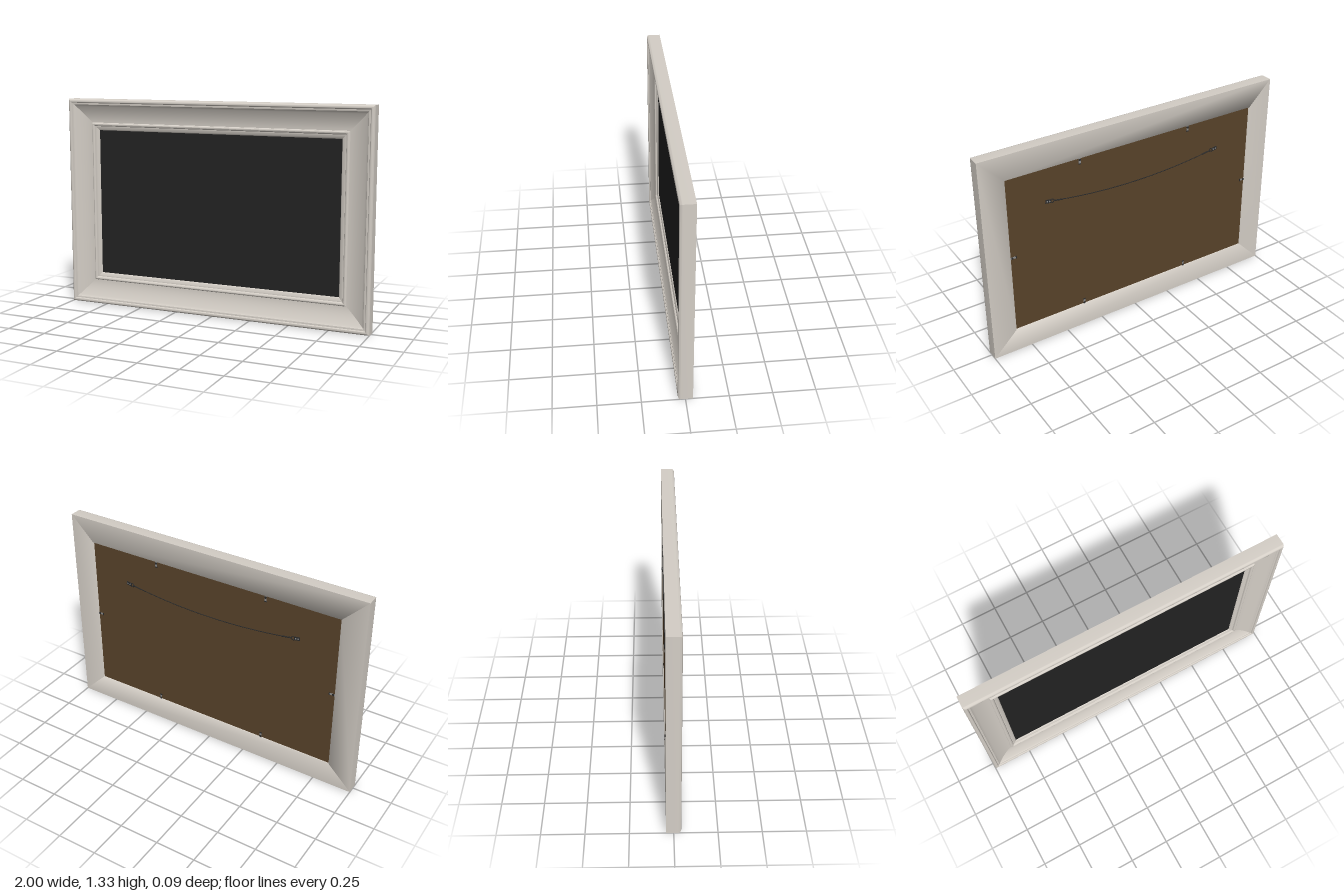
import * as THREE from 'three';
import { toCreasedNormals } from 'three/addons/utils/BufferGeometryUtils.js';

const H = 1.33, BACK = -0.043, BOARD_Z = -0.037;

const mat = (name, color) => {
  const m = new THREE.MeshStandardMaterial({ color });
  m.name = name;
  return m;
};

// Corner k of the rectangle lying t inside the outer edge, counter-clockwise
const corner = (k, t) => [
  [-1 + t, t], [1 - t, t], [1 - t, H - t], [-1 + t, H - t],
][k % 4];

// One mitred rail: sweeps a profile of [inset, z] points between two corners
function railGeometry(k, profile, crease) {
  const pos = [];
  for (let j = 0; j < profile.length - 1; j++) {
    const [t0, z0] = profile[j], [t1, z1] = profile[j + 1];
    const a = [...corner(k, t0), z0], b = [...corner(k + 1, t0), z0];
    const c = [...corner(k + 1, t1), z1], d = [...corner(k, t1), z1];
    pos.push(...a, ...b, ...c, ...a, ...c, ...d);
  }
  const g = new THREE.BufferGeometry();
  g.setAttribute('position', new THREE.Float32BufferAttribute(pos, 3));
  return toCreasedNormals(g, crease);
}

export function createModel() {
  const model = new THREE.Group();
  model.name = 'pictureFrame';
  const silver = mat('warm silver', 0xd4cec6);
  const black = mat('black picture', 0x222222);
  const brown = mat('brown backing', 0x59432a);
  const steel = mat('steel', 0x8c8c8c);
  const dark = mat('dark metal', 0x2b2b2b);

  const add = (parent, name, geo, material, x = 0, y = 0, z = 0) => {
    const m = new THREE.Mesh(geo, material);
    m.name = name;
    m.position.set(x, y, z);
    parent.add(m);
    return m;
  };

  // Moulding profile: outer side, rounded rim, step, cove, bead, inner lip
  const front = [[0, BACK], [0, 0.027]];
  for (let i = 1; i <= 6; i++) {
    const a = (i / 6) * Math.PI / 2;
    front.push([0.016 * (1 - Math.cos(a)), 0.027 + 0.016 * Math.sin(a)]);
  }
  front.push([0.02, 0.042], [0.024, 0.038], [0.025, 0.034], [0.036, 0.034], [0.038, 0.031]);
  for (let i = 1; i <= 10; i++) {
    const u = i / 10;
    front.push([0.038 + 0.112 * u, 0.031 - 0.033 * (1 - Math.pow(1 - u, 1.8))]);
  }
  front.push([0.152, 0.002]);
  for (let i = 0; i <= 6; i++) {
    const a = (i / 6) * Math.PI;
    front.push([0.162 - 0.009 * Math.cos(a), 0.002 + 0.006 * Math.sin(a)]);
  }
  front.push([0.173, -0.004], [0.182, -0.004], [0.186, -0.006], [0.194, -0.008], [0.198, -0.011], [0.2, -0.017]);

  // Back face with a softly shaded edge round the backing board
  const back = [[0.157, BOARD_Z + 0.001], [0.153, BACK], [0, BACK]];

  ['bottom', 'right', 'top', 'left'].forEach((side, k) => {
    // the model's left is +x
    const label = { right: 'left', left: 'right' }[side] || side;
    add(model, label + 'RailFront', railGeometry(k, front, 0.7), silver);
    add(model, label + 'RailBack', railGeometry(k, back, 1.4), silver);
  });

  // Picture and backing board
  add(model, 'picture', new THREE.BoxGeometry(1.63, 0.96, 0.006), black, 0, H / 2, -0.017);
  add(model, 'backingBoard', new THREE.BoxGeometry(1.72, 1.05, 0.016), brown, 0, H / 2, BOARD_Z + 0.008);

  // Retaining clips: a bent tab and a screw, pointing inwards
  const clips = [
    [0.375, H - 0.16, 0], [-0.375, H - 0.16, 0],
    [0.375, 0.16, Math.PI], [-0.375, 0.16, Math.PI],
    [0.84, H / 2, -Math.PI / 2], [-0.84, H / 2, Math.PI / 2],
  ];
  for (const [x, y, turn] of clips) {
    const clip = new THREE.Group();
    clip.name = 'retainingClip';
    clip.position.set(x, y, BOARD_Z - 0.003);
    clip.rotation.z = turn;
    add(clip, 'clipTab', new THREE.BoxGeometry(0.012, 0.036, 0.003), steel, 0, -0.012);
    add(clip, 'clipScrew', new THREE.CylinderGeometry(0.007, 0.007, 0.005, 12).rotateX(Math.PI / 2), dark, 0, -0.004, -0.001);
    add(clip, 'clipTip', new THREE.BoxGeometry(0.016, 0.006, 0.004), dark, 0, -0.029);
    model.add(clip);
  }

  // Hangers: a plate with two screws and a ring facing the middle
  for (const s of [1, -1]) {
    const hanger = new THREE.Group();
    hanger.name = s > 0 ? 'leftHanger' : 'rightHanger';
    hanger.position.set(s * 0.58, 0.96, BOARD_Z - 0.002);
    hanger.rotation.z = s > 0 ? 0.15 : Math.PI - 0.15;
    add(hanger, 'hangerPlate', new THREE.BoxGeometry(0.036, 0.022, 0.004), dark, 0.006);
    add(hanger, 'hangerRing', new THREE.TorusGeometry(0.012, 0.0025, 6, 16), dark, -0.018);
    for (const x of [-0.002, 0.014]) {
      add(hanger, 'hangerScrew', new THREE.CylinderGeometry(0.0045, 0.0045, 0.003, 10).rotateX(Math.PI / 2), steel, x, 0, -0.0025);
    }
    model.add(hanger);
  }

  // Sagging wire with twisted ends
  const path = [];
  for (let i = 0; i <= 12; i++) {
    const x = 0.555 * (1 - i / 6);
    path.push(new THREE.Vector3(x, 0.912 + 0.045 * (x / 0.555) ** 2, BOARD_Z - 0.0025));
  }
  const wire = new THREE.CatmullRomCurve3(path);
  add(model, 'hangingWire', new THREE.TubeGeometry(wire, 48, 0.0025, 6), dark);
  for (const s of [1, -1]) {
    const twist = new THREE.LineCurve3(
      new THREE.Vector3(s * 0.555, 0.957, BOARD_Z - 0.003),
      new THREE.Vector3(s * 0.49, 0.947, BOARD_Z - 0.003));
    add(model, 'wireTwist', new THREE.TubeGeometry(twist, 4, 0.004, 6), dark);
  }
  return model;
}
